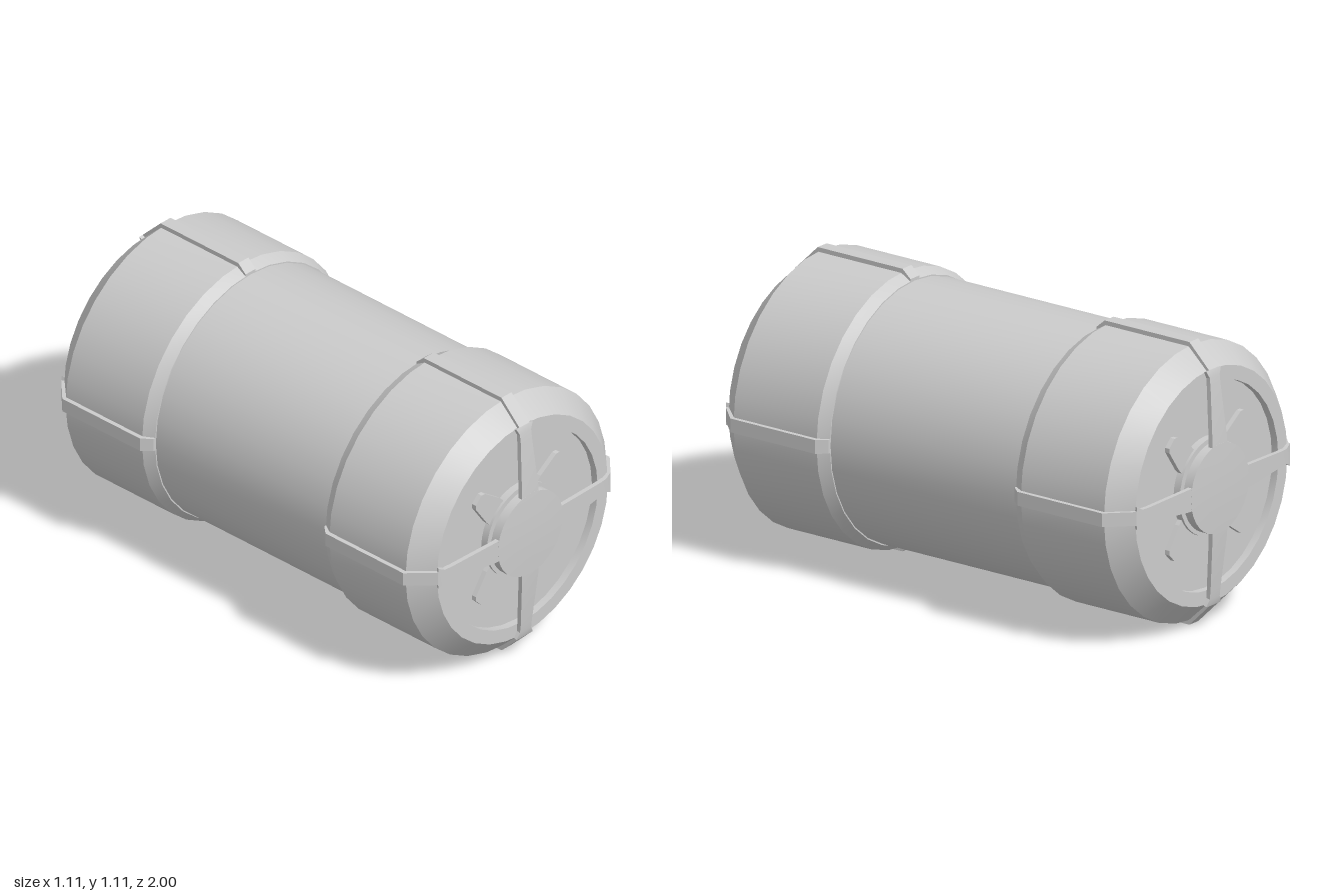
import * as THREE from 'three';
import { toCreasedNormals } from 'three/addons/utils/BufferGeometryUtils.js';

const CENTER_Y = 0.555;
const material = new THREE.MeshStandardMaterial({ color: 0xcccccc });

function part(name, geometry) {
  const mesh = new THREE.Mesh(geometry, material);
  mesh.name = name;
  return mesh;
}

// Turned part about the z axis; profile holds [radius, z] pairs.
function turned(name, profile, segments = 32) {
  const g = new THREE.LatheGeometry(profile.map(([r, z]) => new THREE.Vector2(r, z)), segments);
  g.rotateX(Math.PI / 2);
  return part(name, toCreasedNormals(g, 0.4));
}

// Strap lofted along +y from the hub, over the chamfer and along the cap side.
// Each section: outer radius, outer z, inner radius, inner z, half width.
function strapGeometry() {
  const sections = [
    [0.12, 0.997, 0.12, 0.975, 0.047],
    [0.19, 0.995, 0.19, 0.977, 0.044],
    [0.40, 0.975, 0.40, 0.957, 0.030],
    [0.435, 0.971, 0.43, 0.950, 0.030],
    [0.462, 0.966, 0.452, 0.940, 0.044],
    [0.464, 0.965, 0.452, 0.940, 0.027],
    [0.555, 0.873, 0.530, 0.860, 0.027],
    [0.555, 0.475, 0.530, 0.485, 0.027],
    [0.522, 0.437, 0.500, 0.437, 0.027],
  ];
  const positions = [];
  const index = [];
  sections.forEach(([ro, zo, ri, zi, w], i) => {
    positions.push(-w, ro, zo, w, ro, zo, w, ri, zi, -w, ri, zi);
    if (i === 0) return;
    for (let k = 0; k < 4; k++) {
      const a = (i - 1) * 4 + k, b = (i - 1) * 4 + (k + 1) % 4;
      index.push(a, b, b + 4, a, b + 4, a + 4);
    }
  });
  const e = (sections.length - 1) * 4;
  index.push(e, e + 1, e + 2, e, e + 2, e + 3);
  const g = new THREE.BufferGeometry();
  g.setAttribute('position', new THREE.Float32BufferAttribute(positions, 3));
  g.setIndex(index);
  return toCreasedNormals(g, 0.3);
}

// Tapered tab lying on the recessed end face, pointing along +y.
function tabGeometry() {
  const s = new THREE.Shape([
    new THREE.Vector2(-0.052, 0.16), new THREE.Vector2(0.052, 0.16),
    new THREE.Vector2(0.052, 0.205), new THREE.Vector2(0.034, 0.305),
    new THREE.Vector2(0.022, 0.318), new THREE.Vector2(-0.022, 0.318),
    new THREE.Vector2(-0.034, 0.305), new THREE.Vector2(-0.052, 0.205),
  ]);
  const g = new THREE.ExtrudeGeometry(s, { depth: 0.035, bevelEnabled: false });
  g.translate(0, 0, 0.91);
  return g;
}

// One complete end, facing +z.
function endAssembly(name) {
  const end = new THREE.Group();
  end.name = name;
  end.add(turned('endCap', [
    [0.50, 0.437], [0.515, 0.437], [0.54, 0.48], [0.54, 0.87], [0.46, 0.955],
    [0.405, 0.955], [0.405, 0.925], [0, 0.925],
  ]));
  end.add(turned('hubCollar', [[0.19, 0.92], [0.19, 0.955], [0.15, 0.955]]));
  end.add(turned('hubStem', [[0.15, 0.92], [0.15, 0.97]]));
  end.add(turned('hubCover', [
    [0, 0.96], [0.175, 0.96], [0.175, 0.996], [0.10, 0.999], [0, 1.0],
  ]));
  const strap = strapGeometry(), tab = tabGeometry();
  for (let i = 0; i < 4; i++) {
    const s = part('strap', strap);
    s.rotation.z = i * Math.PI / 2;
    const t = part('hubTab', tab);
    t.rotation.z = (i + 0.5) * Math.PI / 2;
    end.add(s, t);
  }
  return end;
}

export function createModel() {
  const model = new THREE.Group();
  model.name = 'canister';
  model.add(turned('body', [[0.51, -0.5], [0.51, 0.5]]));
  const front = endAssembly('frontEnd');
  const back = endAssembly('backEnd');
  back.rotation.y = Math.PI;
  model.add(front, back);
  model.children.forEach((c) => { c.position.y = CENTER_Y; });
  return model;
}
